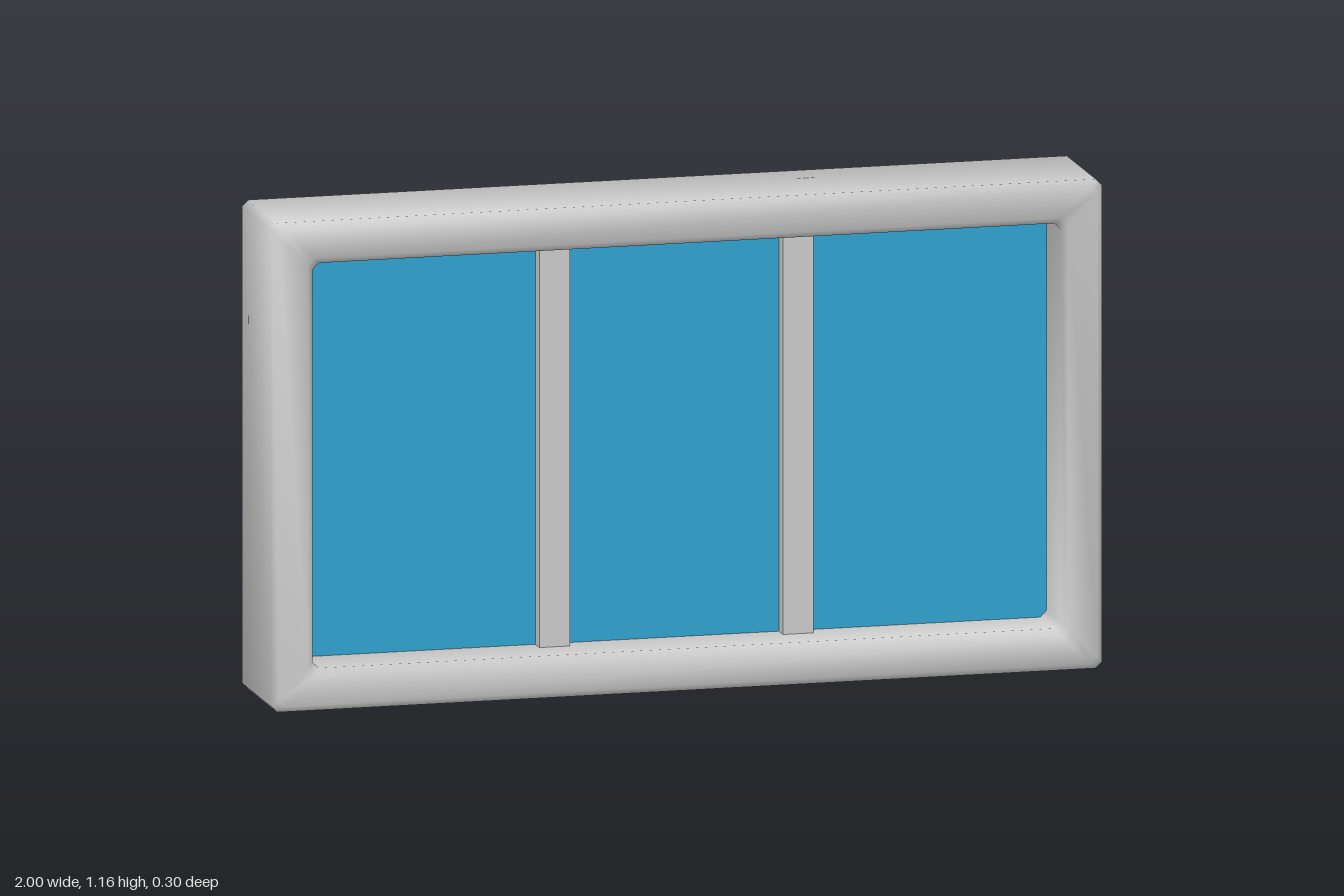
import * as THREE from 'three';
import { toCreasedNormals } from 'three/addons/utils/BufferGeometryUtils.js';

const HALF_W = 1, HEIGHT = 1.165, HALF_D = 0.15, BORDER = 0.1, BEVEL = 0.015;

// Chamfered rectangle, inset by d from the outer edge, counter-clockwise seen from the front
function ring(d, z) {
  const x = HALF_W - d, lo = d, hi = HEIGHT - d, c = BEVEL;
  return [
    [x, lo + c], [x, hi - c], [x - c, hi], [-x + c, hi],
    [-x, hi - c], [-x, lo + c], [-x + c, lo], [x - c, lo],
  ].map(([px, py]) => [px, py, z]);
}

// Bevelled rail cross-section swept around the rectangle
function frameGeometry() {
  const b = BEVEL, w = BORDER, h = HALF_D;
  const section = [
    [0, b - h], [0, h - b], [b, h], [w - b, h],
    [w, h - b], [w, b - h], [w - b, -h], [b, -h],
  ];
  const rings = section.map(([d, z]) => ring(d, z));
  const n = rings[0].length, index = [];
  rings.forEach((_, i) => {
    const next = (i + 1) % rings.length;
    for (let j = 0; j < n; j++) {
      const k = (j + 1) % n;
      const a = i * n + j, e = i * n + k, f = next * n + k, g = next * n + j;
      index.push(a, e, f, a, f, g);
    }
  });
  const geo = new THREE.BufferGeometry();
  geo.setAttribute('position', new THREE.Float32BufferAttribute(rings.flat(2), 3));
  geo.setIndex(index);
  // Smooth shading all round gives the rails their soft, rounded look
  return toCreasedNormals(geo, Math.PI);
}

export function createModel() {
  const group = new THREE.Group();
  group.name = 'window';
  const grey = new THREE.MeshStandardMaterial({ name: 'frame grey', color: 0xcccccc });
  const blue = new THREE.MeshStandardMaterial({ name: 'glass blue', color: 0x2ea3d0 });

  const add = (name, geo, mat, x = 0, y = 0) => {
    const mesh = new THREE.Mesh(geo, mat);
    mesh.name = name;
    mesh.position.set(x, y, 0);
    group.add(mesh);
  };

  add('frame', frameGeometry(), grey);

  // Glass pane in the middle of the depth, tucked slightly into the rails
  const openW = 2 * (HALF_W - BORDER), openH = HEIGHT - 2 * BORDER;
  add('glass', new THREE.BoxGeometry(openW + 0.01, openH + 0.01, 0.008), blue, 0, HEIGHT / 2);

  // Two upright bars dividing the pane in three
  for (const side of [-1, 1]) {
    add(side < 0 ? 'rightBar' : 'leftBar',
      new THREE.BoxGeometry(0.074, openH + 0.01, 0.084), grey, side * 0.293, HEIGHT / 2);
  }
  return group;
}
